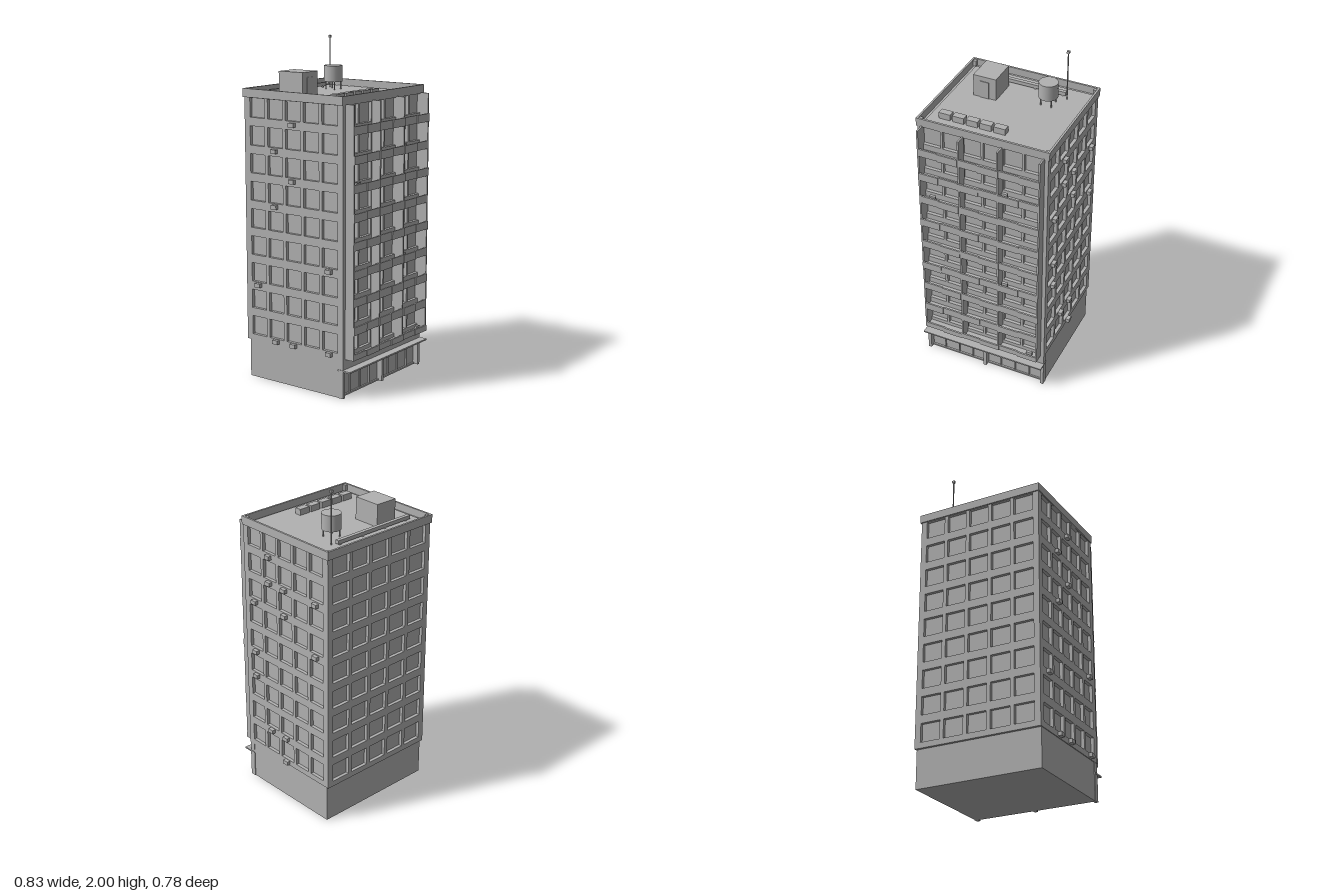
import * as THREE from 'three';

const FLOORS = 9, PITCH = 0.162, SILL = 0.265, WIN_H = 0.112;
const BODY_Y = 0.23, TOP = 1.68, ROOF = 1.685;

export function createModel() {
  const model = new THREE.Group();
  model.name = 'apartmentBlock';
  const concrete = new THREE.MeshStandardMaterial({ color: 0xb2b2b2 });
  concrete.name = 'concrete grey';

  const add = (name, geometry, parent = model) => {
    const mesh = new THREE.Mesh(geometry, concrete);
    mesh.name = name;
    parent.add(mesh);
    return mesh;
  };
  // Box given by its minimum and maximum on each axis
  const box = (name, x0, x1, y0, y1, z0, z1, parent = model) => {
    const mesh = add(name, new THREE.BoxGeometry(x1 - x0, y1 - y0, z1 - z0), parent);
    mesh.position.set((x0 + x1) / 2, (y0 + y1) / 2, (z0 + z1) / 2);
    return mesh;
  };
  const group = (name) => {
    const g = new THREE.Group();
    g.name = name;
    model.add(g);
    return g;
  };
  const rect = (path, x0, x1, y0, y1) => {
    path.moveTo(x0, y0);
    path.lineTo(x1, y0);
    path.lineTo(x1, y1);
    path.lineTo(x0, y1);
    path.closePath();
    return path;
  };

  // Wall with a grid of window openings, outer face on local z = 0
  const DEPTH = 0.02;
  const wall = (name, u0, u1, centres, width) => {
    const shape = rect(new THREE.Shape(), u0, u1, BODY_Y, TOP);
    for (let f = 0; f < FLOORS; f++) {
      const y = SILL + f * PITCH;
      for (const c of centres) {
        shape.holes.push(rect(new THREE.Path(), c - width / 2, c + width / 2, y, y + WIN_H));
      }
    }
    const geometry = new THREE.ExtrudeGeometry(shape, { depth: DEPTH, bevelEnabled: false });
    geometry.translate(0, 0, -DEPTH);
    return add(name, geometry);
  };

  // Tower core: its faces are the window panes
  box('windowCore', -0.375, 0.375, BODY_Y, ROOF, -0.362, 0.305);
  const sideZ = [0.233, 0.103, -0.027, -0.157, -0.288];
  const frontWall = wall('frontWall', -0.393, 0.393, [-0.31, -0.186, -0.062, 0.062, 0.186, 0.31], 0.11);
  frontWall.position.z = 0.325;
  const backWall = wall('backWall', -0.393, 0.393, [-0.296, -0.148, 0, 0.148, 0.296], 0.124);
  backWall.rotation.y = Math.PI;
  backWall.position.z = -0.382;
  const leftWall = wall('leftWall', -0.325, 0.382, sideZ.map((z) => -z), 0.108);
  leftWall.rotation.y = Math.PI / 2;
  leftWall.position.x = 0.395;
  const rightWall = wall('rightWall', -0.382, 0.325, sideZ, 0.108);
  rightWall.rotation.y = -Math.PI / 2;
  rightWall.position.x = -0.395;

  // Ground floor with shopfront, piers and canopy
  const base = group('groundFloor');
  box('baseBlock', -0.39, 0.39, 0, BODY_Y, -0.365, 0.29, base);
  box('frontBeam', -0.393, 0.393, 0.165, BODY_Y, 0.29, 0.324, base);
  for (const x of [-0.384, 0, 0.384]) box('pier', x - 0.01, x + 0.01, 0, 0.165, 0.29, 0.325, base);
  for (const s of [-1, 1]) {
    for (let i = 1; i < 4; i++) {
      const x = s * i * 0.096;
      box('shopMullion', x - 0.003, x + 0.003, 0.01, 0.165, 0.29, 0.298, base);
    }
  }
  box('shopSill', -0.384, 0.384, 0, 0.01, 0.29, 0.3, base);
  box('canopy', -0.397, 0.397, 0.161, 0.17, 0.29, 0.375, base);

  // Balconies: fins between bays, slabs and alternating front panels
  const balconies = group('balconies');
  const fins = [-0.368, -0.118, 0.118, 0.368];
  for (const x of fins) box('balconyFin', x - 0.005, x + 0.005, BODY_Y, TOP, 0.32, 0.383, balconies);
  for (let f = 0; f < FLOORS; f++) {
    const y = BODY_Y + f * PITCH - (f ? 0.013 : 0);
    const rail = SILL + f * PITCH;
    box('balconySlab', -0.368, 0.368, y, y + 0.012, 0.32, 0.38, balconies);
    for (let b = 0; b < 6; b++) {
      const x = -0.372 + b * 0.124;
      const out = (b + f) % 2 ? 0.388 : 0.383;
      box('balconyPanel', x, x + 0.124, y, rail, out - 0.01, out, balconies);
    }
  }

  // Air conditioners hung below the windows
  const units = group('airConditioners');
  const sideUnits = {
    1: [[0, 2], [1, 2], [1, 4], [0, 5], [2, 5], [3, 6], [0, 7], [2, 7], [4, 7], [1, 8], [2, 1]],
    [-1]: [[0, 0], [2, 0], [3, 0], [4, 2], [0, 3], [3, 5], [2, 6], [3, 7], [2, 8]],
  };
  sideUnits[1] = [[2, 0], [1, 1], [2, 1], [0, 3], [0, 4], [4, 5], [0, 6], [2, 6], [1, 7], [2, 7], [4, 7], [1, 8]];
  for (const s of [-1, 1]) {
    for (const [c, f] of sideUnits[s]) {
      const y = 0.25 + f * 0.1613, z = sideZ[c];
      const unit = box('airConditioner', -0.013, 0.013, -0.012, 0.012, -0.019, 0.019, units);
      unit.position.set(s * 0.404, y, z);
    }
  }
  for (const [x, f] of [[-0.3, 6], [0.152, 7], [0.152, 3], [0.313, 0]]) {
    const y = SILL + f * PITCH;
    box('airConditioner', x - 0.018, x + 0.018, y - 0.025, y + 0.005, 0.35, 0.366, units);
  }

  // Roof parapet with corner posts
  const roof = group('roof');
  box('parapetFront', -0.402, 0.402, 1.675, 1.725, 0.316, 0.328, roof);
  box('parapetBack', -0.402, 0.402, 1.675, 1.725, -0.39, -0.378, roof);
  for (const s of [-1, 1]) {
    const side = box('parapetSide', -0.006, 0.006, 1.675, 1.725, -0.378, 0.316, roof);
    side.position.x = s * 0.396;
    for (const z of [-0.368, 0.306]) {
      box('cornerPost', s * 0.381 - 0.01, s * 0.381 + 0.01, ROOF, 1.72, z - 0.01, z + 0.01, roof);
    }
  }

  // Roof equipment
  box('stairHouse', -0.247, -0.105, ROOF - 0.005, 1.82, -0.247, -0.074, roof);
  box('stairDoor', -0.203, -0.149, ROOF, 1.79, -0.074, -0.07, roof);
  box('roofDuct', -0.32, 0.236, 1.693, 1.715, -0.296, -0.273, roof);
  for (let i = 0; i < 4; i++) {
    const x = -0.3 + i * 0.17;
    box('ductSupport', x, x + 0.012, ROOF, 1.695, -0.291, -0.278, roof);
  }
  for (let i = 0; i < 5; i++) {
    const x = -0.315 + i * 0.084;
    box('ventUnit', x, x + 0.07, ROOF - 0.005, 1.722, 0.18, 0.222, roof);
  }

  // Water tank on legs
  const tank = group('waterTank');
  tank.position.set(0.174, 0, -0.172);
  add('tankBody', new THREE.CylinderGeometry(0.056, 0.056, 0.095, 20), tank).position.y = 1.78;
  for (let i = 0; i < 4; i++) {
    const a = Math.PI / 4 + (i * Math.PI) / 2;
    const leg = add('tankLeg', new THREE.CylinderGeometry(0.004, 0.004, 0.055, 6), tank);
    leg.position.set(Math.cos(a) * 0.045, 1.71, Math.sin(a) * 0.045);
  }

  // Antenna mast
  const mast = group('antenna');
  mast.position.set(0.253, 0, -0.257);
  add('mast', new THREE.CylinderGeometry(0.004, 0.004, 0.305, 8), mast).position.y = 1.835;
  box('mastTip', -0.008, 0.008, 1.985, 2, -0.007, 0.007, mast);

  return model;
}
